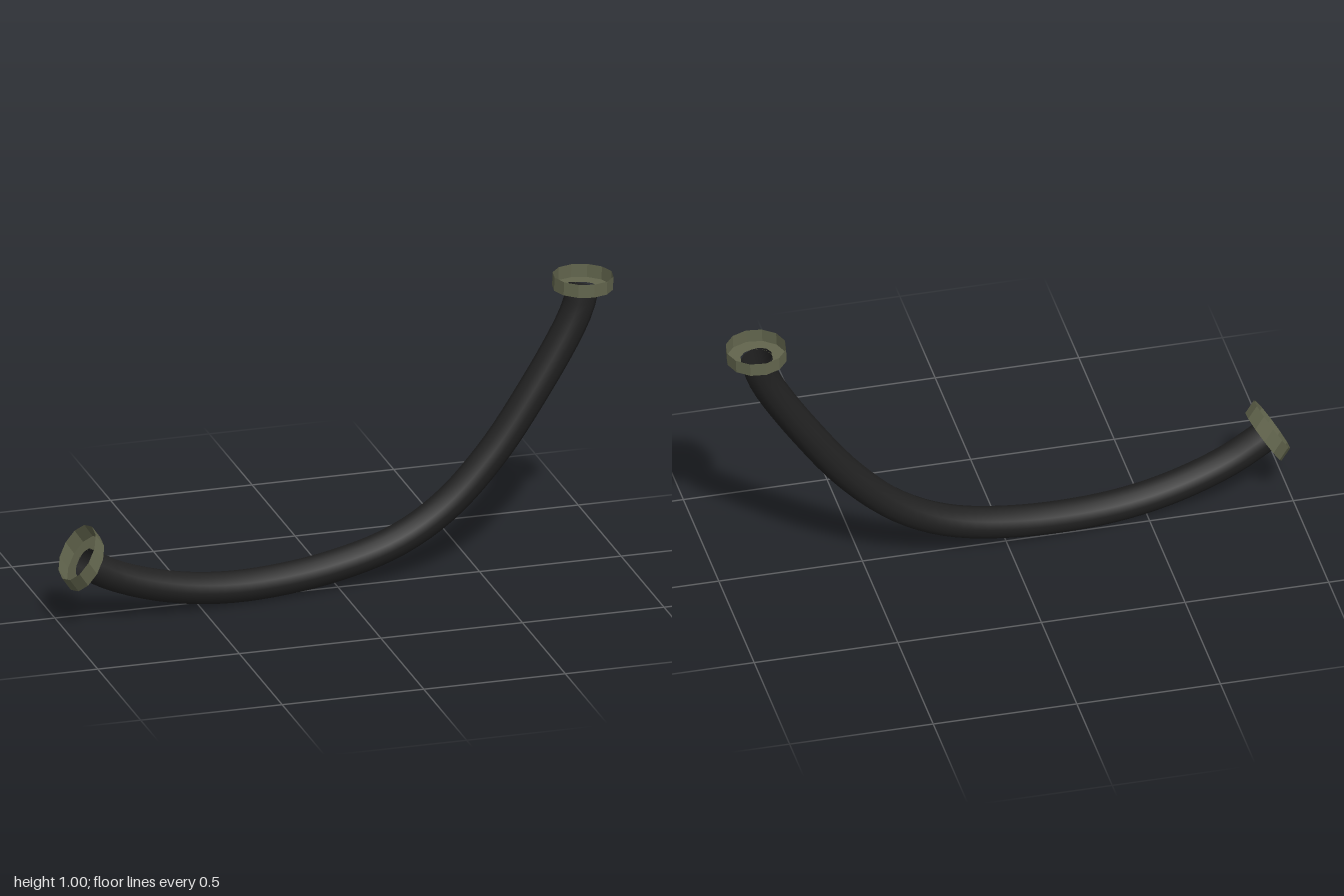
import * as THREE from 'three';

const hoseMaterial = new THREE.MeshStandardMaterial({ name: 'black rubber', color: 0x212121, side: THREE.DoubleSide });
const capMaterial = new THREE.MeshStandardMaterial({
  name: 'olive metal', color: 0x62654d, side: THREE.DoubleSide, flatShading: true,
});

// The hose hangs in a vertical plane turned slightly about y
const planeZ = (x) => -0.002 - 0.095 * x;
const point = ([x, y]) => new THREE.Vector3(x, y, planeZ(x));

// Shallow open cup with a hole in its floor: u and w span the floor, d leads to the rim
function makeCap(name, centre, u, d, w) {
  const profile = [[0.055, 0], [0.104, 0], [0.104, 1]].map(([r, h]) => new THREE.Vector2(r, h));
  const geometry = new THREE.LatheGeometry(profile, 12).toNonIndexed();
  geometry.applyMatrix4(new THREE.Matrix4().makeBasis(u, d, w).setPosition(centre));
  geometry.computeVertexNormals();
  const cap = new THREE.Mesh(geometry, capMaterial);
  cap.name = name;
  return cap;
}

export function createModel() {
  const group = new THREE.Group();
  group.name = 'hose';

  // Sagging hose, open at both ends
  const path = [
    [-0.917, 0.222], [-0.8, 0.158], [-0.64, 0.102], [-0.47, 0.068], [-0.28, 0.058], [-0.02, 0.08],
    [0.21, 0.138], [0.39, 0.239], [0.56, 0.405], [0.72, 0.625], [0.84, 0.82], [0.876, 0.9], [0.89, 0.957],
  ].map(point);
  const curve = new THREE.CatmullRomCurve3(path, false, 'centripetal');
  const hose = new THREE.Mesh(new THREE.TubeGeometry(curve, 48, 0.055, 12, false), hoseMaterial);
  hose.name = 'hoseTube';
  group.add(hose);

  // End caps
  const across = new THREE.Vector3(0.09, 0, 0.995);
  group.add(makeCap('rightEndCap', path[0],
    new THREE.Vector3(0.52, 0.83, -0.05), new THREE.Vector3(-0.031, 0.045, 0.003), across));
  group.add(makeCap('leftEndCap', path[path.length - 1],
    new THREE.Vector3(0.995, -0.03, -0.09), new THREE.Vector3(0.002, 0.047, 0), across));

  return group;
}
